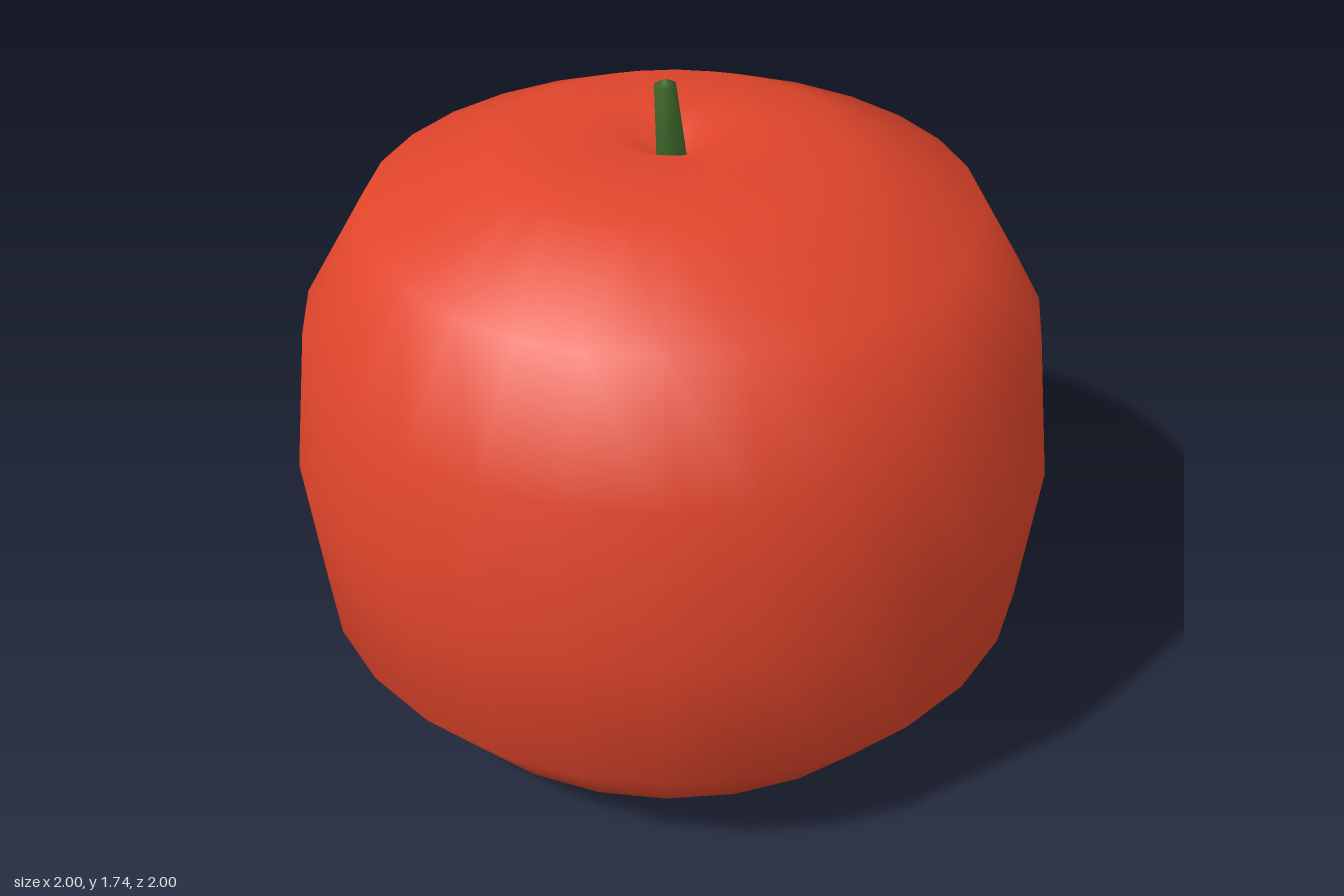
import * as THREE from 'three';

const lathe = (points, sides) =>
  new THREE.LatheGeometry(points.map(([r, y]) => new THREE.Vector2(r, y)), sides);

function addPart(group, name, geometry, color) {
  const mesh = new THREE.Mesh(
    geometry,
    new THREE.MeshStandardMaterial({ color, side: THREE.DoubleSide })
  );
  mesh.name = name;
  group.add(mesh);
  return mesh;
}

export function createModel() {
  const group = new THREE.Group();
  group.name = 'tomato';

  // Squat fruit body with a shallow base dimple and a deeper one under the stem
  addPart(group, 'fruit', lathe([
    [0, 0.06], [0.4, 0], [0.78, 0.1], [0.96, 0.33], [1, 0.73], [0.95, 1.13],
    [0.78, 1.42], [0.45, 1.565], [0.15, 1.6], [0, 1.51],
  ], 28), 0xe0452b);

  // Tapered stem with a softly pointed tip, leaning toward -x
  const stem = addPart(group, 'stem', lathe([
    [0, 0], [0.042, 0], [0.029, 0.222], [0, 0.238],
  ], 8), 0x3f6b2c);
  stem.position.set(0, 1.5, 0);
  stem.rotation.z = 0.09;

  return group;
}
